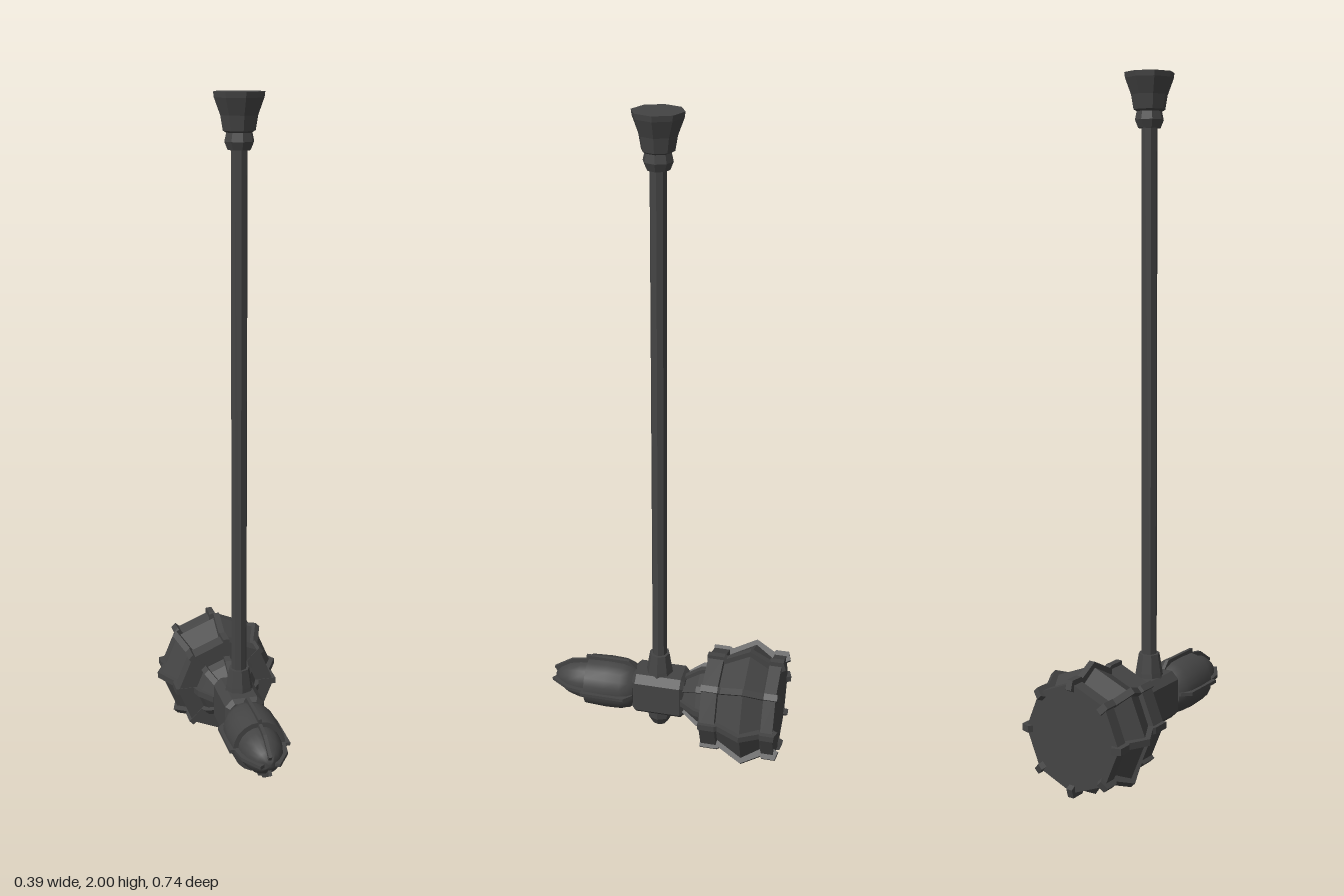
import * as THREE from 'three';
import { toCreasedNormals } from 'three/addons/utils/BufferGeometryUtils.js';

const AXIS_Y = 0.195; // height of the head's long axis
const SHAFT_Z = 0.025;

export function createModel() {
  const model = new THREE.Group();
  model.name = 'warHammer';
  const flat = new THREE.MeshStandardMaterial({ color: 0x444444, flatShading: true });
  const smooth = new THREE.MeshStandardMaterial({ color: 0x444444 });

  const add = (parent, name, geometry, material = flat) => {
    const mesh = new THREE.Mesh(geometry, material);
    mesh.name = name;
    parent.add(mesh);
    return mesh;
  };
  // Turned profile of [radius, height] pairs, listed from low to high
  const turned = (profile, sides = 8) =>
    new THREE.LatheGeometry(profile.map(([r, h]) => new THREE.Vector2(r, h)), sides);
  // Thin plates of [radius, z] outline, repeated around the z axis
  const addRibs = (parent, name, outline, count, thickness) => {
    const shape = new THREE.Shape(outline.map(([r, z]) => new THREE.Vector2(r, z)));
    for (let i = 0; i < count; i++) {
      const g = new THREE.ExtrudeGeometry(shape, { depth: thickness, bevelEnabled: false });
      g.translate(0, 0, -thickness / 2).rotateX(Math.PI / 2).rotateZ((i * Math.PI * 2) / count);
      add(parent, name, g);
    }
  };

  // Upright handle, with collar below and flared pommel on top
  const handle = new THREE.Group();
  handle.name = 'handle';
  handle.position.z = SHAFT_Z;
  model.add(handle);
  add(handle, 'shaft', turned([[0, 0.2], [0.023, 0.2], [0.023, 1.87], [0, 1.87]]));
  add(handle, 'collar', turned([[0, 0.25], [0.044, 0.25], [0.04, 0.28], [0.031, 0.335], [0, 0.335]]));
  add(handle, 'bottomNub', turned([[0, 0.068], [0.024, 0.07], [0.04, 0.1], [0.042, 0.14], [0, 0.14]]));
  add(handle, 'pommel', turned([
    [0, 1.85], [0.032, 1.85], [0.041, 1.872], [0.036, 1.895], [0.045, 1.9],
    [0.052, 1.94], [0.069, 1.985], [0.071, 2], [0, 2],
  ]));

  // Everything below lies along z, around the head axis
  const head = new THREE.Group();
  head.name = 'head';
  head.position.y = AXIS_Y;
  model.add(head);

  // Central block with chamfered long edges
  const w = 0.06, h = 0.072, c = 0.022;
  const block = new THREE.Shape([
    [w, -h + c], [w, h - c], [w - c, h], [-w + c, h],
    [-w, h - c], [-w, -h + c], [-w + c, -h], [w - c, -h],
  ].map(([x, y]) => new THREE.Vector2(x, y)));
  const blockGeometry = new THREE.ExtrudeGeometry(block, {
    depth: 0.142, bevelThickness: 0.012, bevelSize: 0.012, bevelOffset: -0.012, bevelSegments: 1,
  });
  add(head, 'centreBlock', blockGeometry.translate(0, 0, -0.05));

  // Eight-sided striking head with two raised bands
  add(head, 'strikingHead', turned([
    [0, -0.357], [0.157, -0.357], [0.157, -0.32], [0.145, -0.315], [0.18, -0.26],
    [0.137, -0.18], [0.153, -0.178], [0.153, -0.13], [0.098, -0.13],
    [0.088, -0.105], [0.055, -0.055], [0, -0.055],
  ]).rotateX(Math.PI / 2));
  addRibs(head, 'headRib', [
    [0.142, -0.371], [0.168, -0.363], [0.168, -0.322], [0.162, -0.318], [0.193, -0.26],
    [0.155, -0.188], [0.16, -0.18], [0.16, -0.128], [0.104, -0.128],
    [0.098, -0.104], [0.062, -0.053], [0.03, -0.053], [0.07, -0.135],
    [0.11, -0.2], [0.12, -0.3], [0.13, -0.35],
  ], 8, 0.019);

  // Rounded front beak in two stages
  const beak = (profile) =>
    toCreasedNormals(turned(profile, 20).rotateX(Math.PI / 2), 0.7);
  add(head, 'beakBase', beak([
    [0, 0.1], [0.06, 0.1], [0.071, 0.115], [0.079, 0.14], [0.081, 0.19], [0.078, 0.255], [0, 0.255],
  ]), smooth);
  add(head, 'beakTip', beak([
    [0, 0.25], [0.064, 0.25], [0.062, 0.28], [0.053, 0.315], [0.034, 0.345], [0.015, 0.362], [0, 0.367],
  ]), smooth);
  addRibs(head, 'beakBaseRib', [
    [0.03, 0.1], [0.065, 0.1], [0.09, 0.124], [0.09, 0.262], [0.03, 0.262],
  ], 4, 0.01);
  addRibs(head, 'beakTipRib', [
    [0.03, 0.255], [0.077, 0.255], [0.068, 0.31], [0.029, 0.37], [0.014, 0.36],
  ], 4, 0.01);

  return model;
}
